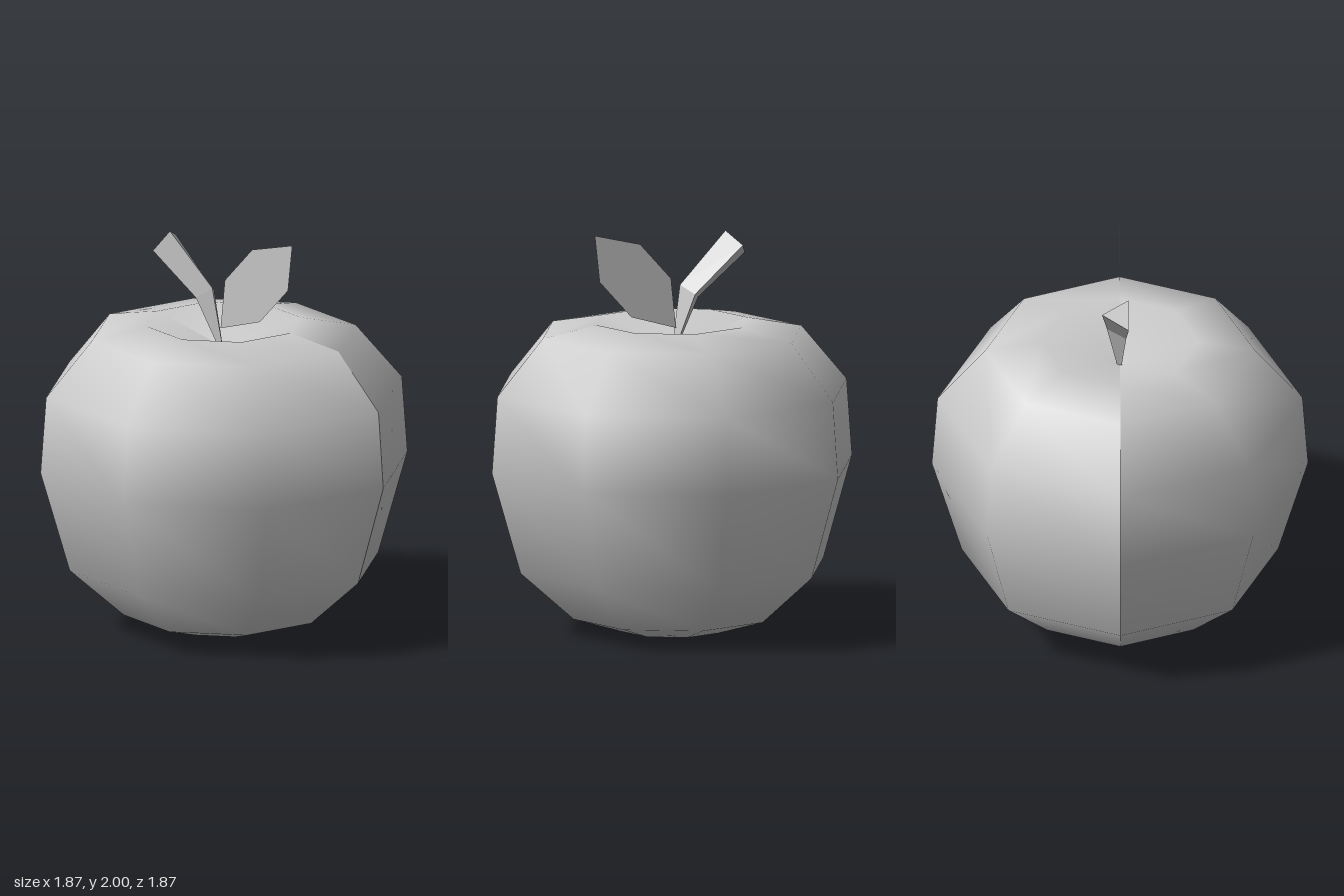
import * as THREE from 'three';
import { mergeVertices } from 'three/addons/utils/BufferGeometryUtils.js';

const material = (options = {}) => new THREE.MeshStandardMaterial({ color: 0xcccccc, ...options });

function addMesh(group, name, geometry, mat) {
  const mesh = new THREE.Mesh(geometry, mat);
  mesh.name = name;
  group.add(mesh);
}

// Half of an eight-sided body, smooth within itself, with a seam at z = 0
function halfBody(phiStart) {
  const profile = [
    [0, 0.1], [0.26, 0], [0.51, 0.075], [0.785, 0.32], [0.933, 0.83],
    [0.905, 1.215], [0.67, 1.495], [0.39, 1.55], [0, 1.42],
  ].map(([r, y]) => new THREE.Vector2(r, y));
  let geometry = new THREE.LatheGeometry(profile, 4, phiStart, Math.PI);
  geometry.deleteAttribute('normal');
  geometry.deleteAttribute('uv');
  geometry = mergeVertices(geometry);
  geometry.computeVertexNormals();
  return geometry;
}

// Bent three-sided stem lofted through triangular sections
function stemGeometry() {
  const sections = [
    [[-0.02, 1.4, 0.005], [0, 1.4, 0.005], [-0.01, 1.4, -0.01]],
    [[-0.145, 1.66, 0.03], [-0.05, 1.725, 0.03], [-0.1, 1.69, -0.065]],
    [[-0.39, 1.87, 0.042], [-0.29, 1.985, 0.042], [-0.34, 1.93, -0.09]],
  ];
  const index = [];
  for (let s = 0; s < sections.length - 1; s++) {
    for (let i = 0; i < 3; i++) {
      const a = s * 3 + i, b = s * 3 + (i + 1) % 3;
      index.push(a, b, b + 3, a, b + 3, a + 3);
    }
  }
  index.push(0, 2, 1, 6, 7, 8); // end caps
  const geometry = new THREE.BufferGeometry();
  geometry.setAttribute('position', new THREE.Float32BufferAttribute(sections.flat(2), 3));
  geometry.setIndex(index);
  geometry.computeVertexNormals();
  return geometry;
}

export function createModel() {
  const model = new THREE.Group();
  model.name = 'apple';

  // Fruit body
  const body = new THREE.Group();
  body.name = 'body';
  addMesh(body, 'bodyFront', halfBody(-Math.PI / 2), material());
  addMesh(body, 'bodyBack', halfBody(Math.PI / 2), material());
  model.add(body);

  // Stem
  addMesh(model, 'stem', stemGeometry(), material({ flatShading: true, side: THREE.DoubleSide }));

  // Flat leaf
  const outline = [[-0.02, 1.515], [0.21, 1.58], [0.375, 1.765], [0.4, 2], [0.165, 1.945], [0.005, 1.765]];
  const leaf = new THREE.Shape(outline.map(([x, y]) => new THREE.Vector2(x, y)));
  addMesh(model, 'leaf', new THREE.ShapeGeometry(leaf), material({ side: THREE.DoubleSide }));

  return model;
}
